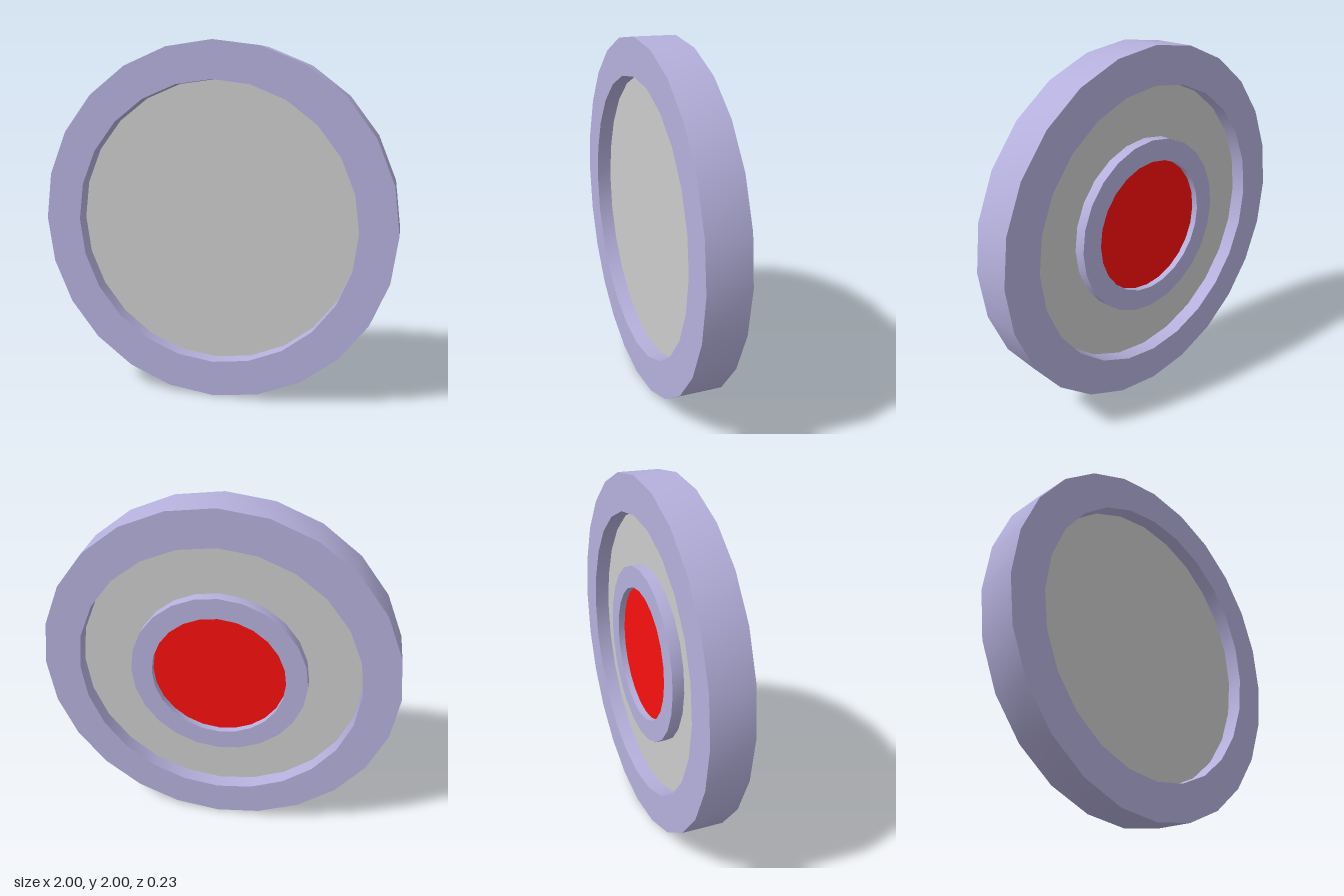
import * as THREE from 'three';
import { toCreasedNormals } from 'three/addons/utils/BufferGeometryUtils.js';

const SIDES = 24;

// Points of a regular polygon with a corner at the top
function ringPoints(radius) {
  return Array.from({ length: SIDES }, (_, i) => {
    const a = (i / SIDES) * Math.PI * 2;
    return new THREE.Vector2(Math.cos(a) * radius, Math.sin(a) * radius);
  });
}

// Disc or ring spanning zBack..zFront; rounded sides shade smoothly, rims stay sharp
function slab(name, material, outer, inner, zBack, zFront) {
  const shape = new THREE.Shape(ringPoints(outer));
  if (inner > 0) shape.holes.push(new THREE.Path(ringPoints(inner).reverse()));
  const geometry = new THREE.ExtrudeGeometry(shape, { depth: zFront - zBack, bevelEnabled: false });
  geometry.translate(0, 1, zBack);
  const mesh = new THREE.Mesh(toCreasedNormals(geometry, Math.PI / 5), material);
  mesh.name = name;
  return mesh;
}

export function createModel() {
  const group = new THREE.Group();
  group.name = 'roundShield';

  const lilac = new THREE.MeshStandardMaterial({ color: 0xb5b0dc });
  const grey = new THREE.MeshStandardMaterial({ color: 0xcccccc });
  const red = new THREE.MeshStandardMaterial({ color: 0xfa0f0f });

  group.add(
    slab('outerRim', lilac, 1, 0.795, -0.115, 0.115),
    // Plate recessed equally on both faces
    slab('plate', grey, 0.795, 0, -0.03, 0.03),
    // Raised ring on the back with a sunken red centre
    slab('hubRing', lilac, 0.5, 0.38, -0.093, -0.03),
    slab('hubCentre', red, 0.38, 0, -0.056, -0.03)
  );
  return group;
}
